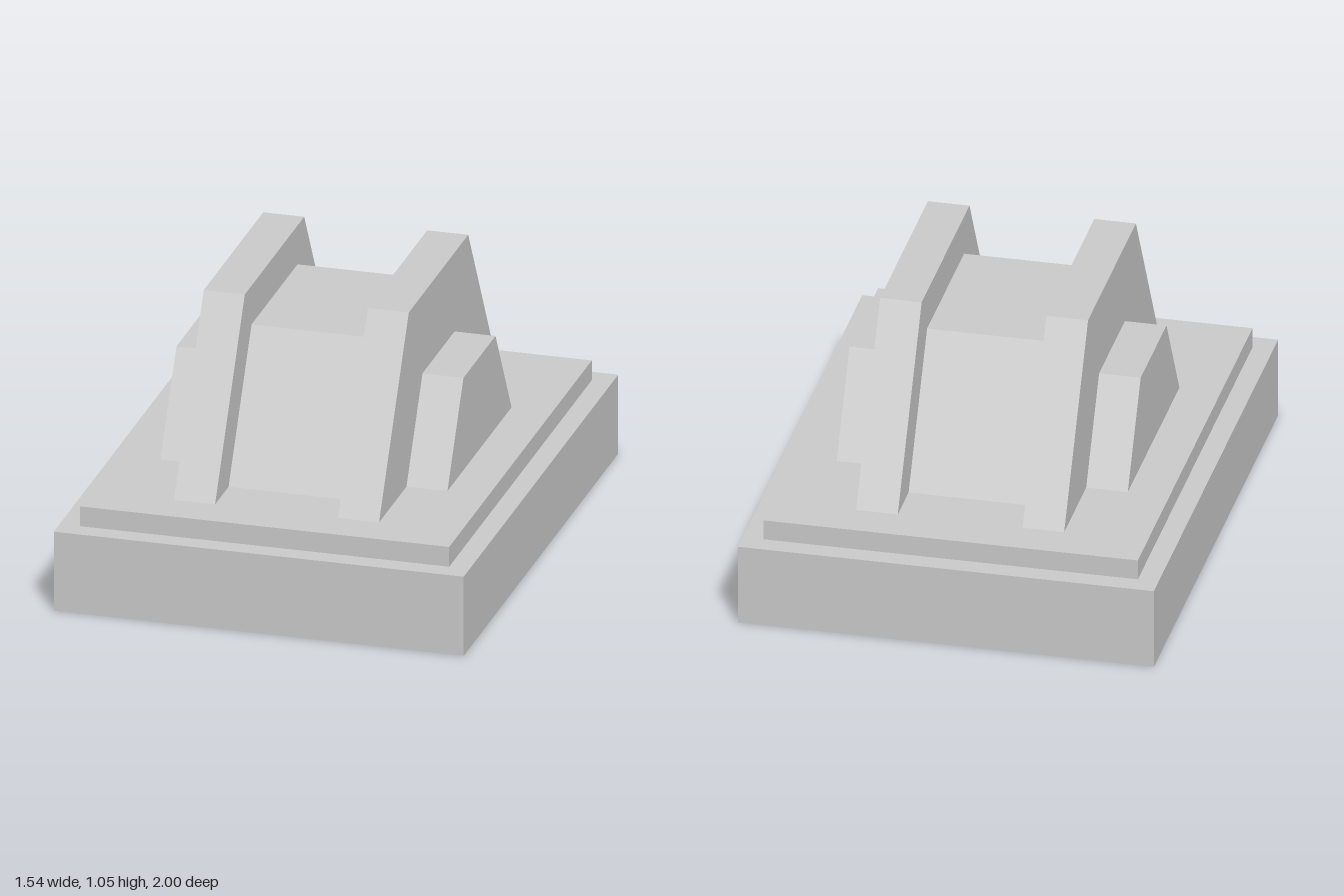
import * as THREE from 'three';

const U = 1 / 13; // module the whole design is laid out on
const DECK = 5 * U; // top of the plinth
const material = new THREE.MeshStandardMaterial({ color: 0xcccccc, flatShading: true });

function slab(name, width, height, depth, bottom) {
  const mesh = new THREE.Mesh(new THREE.BoxGeometry(width, height, depth), material);
  mesh.name = name;
  mesh.position.y = bottom + height / 2;
  return mesh;
}

// Upright half hexagon of the given radius, spanning x0 to x1 and standing on the deck
function halfHexagon(name, radius, x0, x1) {
  const h = radius * Math.sin(Math.PI / 3);
  const shape = new THREE.Shape([
    new THREE.Vector2(-radius, 0),
    new THREE.Vector2(radius, 0),
    new THREE.Vector2(radius / 2, h),
    new THREE.Vector2(-radius / 2, h),
  ]);
  const geometry = new THREE.ExtrudeGeometry(shape, { depth: x1 - x0, bevelEnabled: false });
  geometry.rotateY(Math.PI / 2); // extrude along x
  const mesh = new THREE.Mesh(geometry, material);
  mesh.name = name;
  mesh.position.set(x0, DECK, 0);
  return mesh;
}

export function createModel() {
  const model = new THREE.Group();
  model.name = 'monument';

  // Stepped base
  model.add(slab('base', 20 * U, 4 * U, 26 * U, 0));
  model.add(slab('plinth', 18 * U, U, 24 * U, 4 * U));

  // Central block between the tall walls
  model.add(halfHexagon('centralBlock', 0.595, -3 * U, 3 * U));

  // Tall walls and the low buttresses outside them
  for (const [side, sign] of [['left', 1], ['right', -1]]) {
    const add = (name, radius, inner, outer) => {
      const a = sign * inner * U, b = sign * outer * U;
      model.add(halfHexagon(side + name, radius, Math.min(a, b), Math.max(a, b)));
    };
    add('Wall', 10 * U, 3, 5);
    add('Buttress', 0.415, 5, 7);
  }

  return model;
}
